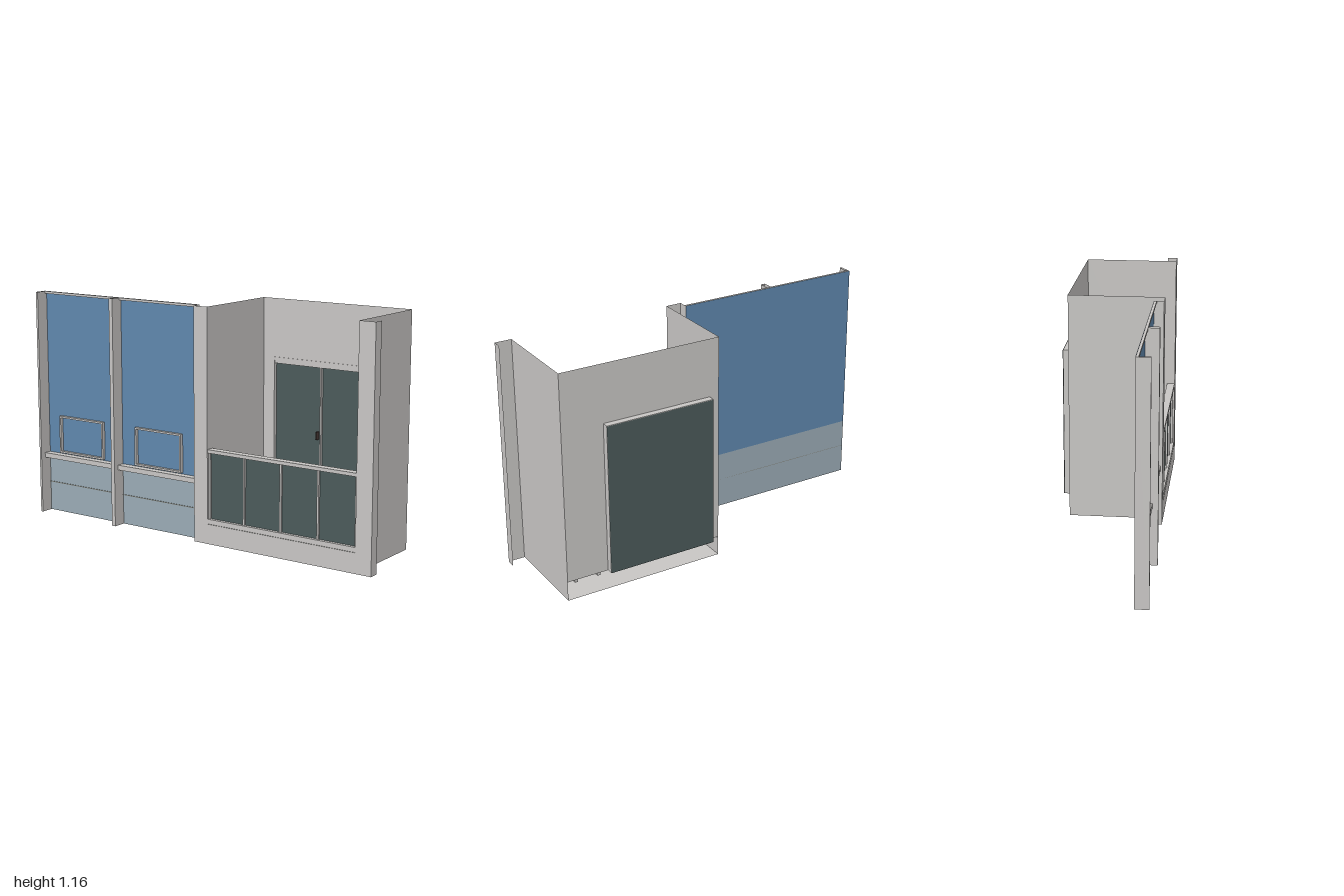
import * as THREE from 'three';

const mat = (name, color) => {
  const m = new THREE.MeshStandardMaterial({ color, side: THREE.DoubleSide });
  m.name = name;
  return m;
};

export function createModel() {
  const wall = mat('light grey wall', 0xc8c6c4);
  const blue = mat('blue panel', 0x5f87ad);
  const pale = mat('pale blue panel', 0x9aabb5);
  const glass = mat('dark glass', 0x4b5a5a);
  const floorMat = mat('floor', 0x878a84);
  const dark = mat('dark metal', 0x4a3b38);

  const root = new THREE.Group();
  root.name = 'facadeModule';
  const H = 1.165, BACK = -0.232, FRONT = 0.25, X0 = 0.08, X1 = 0.915;

  const add = (name, geo, m, parent = root) => {
    const mesh = new THREE.Mesh(geo, m);
    mesh.name = name;
    parent.add(mesh);
    return mesh;
  };
  // Solid box from its limits
  const box = (name, m, x0, x1, y0, y1, z0, z1, parent) =>
    add(name, new THREE.BoxGeometry(x1 - x0, y1 - y0, z1 - z0), m, parent)
      .position.set((x0 + x1) / 2, (y0 + y1) / 2, (z0 + z1) / 2);
  // Single sheets facing z, x and y
  const sheetZ = (name, m, x0, x1, y0, y1, z, parent) =>
    add(name, new THREE.PlaneGeometry(x1 - x0, y1 - y0), m, parent)
      .position.set((x0 + x1) / 2, (y0 + y1) / 2, z);
  const sheetX = (name, m, x, y0, y1, z0, z1, parent) => {
    const s = add(name, new THREE.PlaneGeometry(z1 - z0, y1 - y0), m, parent);
    s.rotation.y = Math.PI / 2;
    s.position.set(x, (y0 + y1) / 2, (z0 + z1) / 2);
  };
  const sheetY = (name, m, x0, x1, y, z0, z1, parent) => {
    const s = add(name, new THREE.PlaneGeometry(x1 - x0, z1 - z0), m, parent);
    s.rotation.x = -Math.PI / 2;
    s.position.set((x0 + x1) / 2, y, (z0 + z1) / 2);
  };
  // Rectangle path
  const rect = (P, x0, x1, y0, y1) => {
    const p = new P();
    p.moveTo(x0, y0); p.lineTo(x1, y0); p.lineTo(x1, y1); p.lineTo(x0, y1); p.closePath();
    return p;
  };
  const ring = (x0, x1, y0, y1, t) => {
    const s = rect(THREE.Shape, x0, x1, y0, y1);
    s.holes.push(rect(THREE.Path, x0 + t, x1 - t, y0 + t, y1 - t));
    return s;
  };
  const group = (name) => {
    const g = new THREE.Group();
    g.name = name;
    root.add(g);
    return g;
  };

  // Panelled half
  const panels = group('panelWall');
  sheetZ('upperPanel', blue, -1, 0, 0.3, H, 0.2, panels);
  sheetZ('lowerPanel', pale, -1, 0, 0, 0.3, 0.2, panels);
  box('topRail', wall, -1, 0, 1.153, H, 0.201, 0.214, panels);
  box('sill', wall, -1, 0, 0.29, 0.315, 0.201, 0.24, panels);
  box('panelJoint', floorMat, -1, 0, 0.151, 0.155, 0.2, 0.203, panels);

  // Open-ended mullions
  for (const [x0, x1] of [[-1, -0.988], [-0.512, -0.49]]) {
    sheetZ('mullionFace', wall, x0, x1, 0, H, 0.268, panels);
    sheetX('mullionSide', wall, x0, 0, H, 0.2, 0.268, panels);
    sheetX('mullionSide', wall, x1, 0, H, 0.2, 0.268, panels);
  }

  // Opening-light frames
  for (const [x0, x1] of [[-0.902, -0.608], [-0.398, -0.106]]) {
    const geo = new THREE.ExtrudeGeometry(ring(x0, x1, 0.322, 0.518, 0.009),
      { depth: 0.018, bevelEnabled: false });
    add('windowFrame', geo, wall, panels).position.z = 0.201;
  }

  // Balcony shell: U-shaped front, side walls, pierced back wall, base
  const balcony = group('balcony');
  const u = new THREE.Shape([[0, 0], [1, 0], [1, H], [X1, H], [X1, 0.1], [X0, 0.1], [X0, H], [0, H]]
    .map(([x, y]) => new THREE.Vector2(x, y)));
  add('frontSurround', new THREE.ShapeGeometry(u), wall, balcony).position.z = FRONT;
  for (const x of [0, 1]) sheetX('pillarReturn', wall, x, 0, H, 0.2, FRONT, balcony);
  for (const x of [X0, X1]) sheetX('sideWall', wall, x, 0, H, BACK, FRONT, balcony);
  const back = new THREE.Shape([[X0, 0.1], [0.13, 0.1], [0.13, 0.87], [0.7, 0.87], [0.7, 0.1],
    [X1, 0.1], [X1, H], [X0, H]].map(([x, y]) => new THREE.Vector2(x, y)));
  add('backWall', new THREE.ShapeGeometry(back), wall, balcony).position.z = BACK;
  sheetY('basePlate', wall, X0, X1, 0, BACK, FRONT, balcony);
  sheetY('floor', floorMat, X0, X1, 0.1, BACK, FRONT, balcony);

  // Balustrade
  const rail = group('balustrade');
  box('handrail', wall, X0, X1, 0.455, 0.472, 0.208, 0.249, rail);
  box('bottomRail', wall, X0, X1, 0.101, 0.125, 0.215, 0.249, rail);
  box('balustradeGlass', glass, X0, X1, 0.125, 0.455, 0.225, 0.231, rail);
  for (const x of [0.085, 0.289, 0.498, 0.705, 0.91])
    box('balustradePost', wall, x - 0.005, x + 0.005, 0.125, 0.455, 0.218, 0.241, rail);

  // Sliding door
  const door = group('balconyDoor');
  const frame = new THREE.ExtrudeGeometry(ring(0.13, 0.7, 0.1, 0.87, 0.016),
    { depth: 0.036, bevelEnabled: false });
  add('doorFrame', frame, wall, door).position.z = -0.265;
  box('doorHead', wall, 0.146, 0.684, 0.838, 0.854, -0.262, -0.234, door);
  sheetZ('doorGlass', glass, 0.13, 0.7, 0.1, 0.868, -0.267, door);
  sheetZ('doorGlassInner', glass, 0.146, 0.684, 0.116, 0.838, -0.25, door);
  box('doorStile', wall, 0.412, 0.42, 0.116, 0.838, -0.25, -0.236, door);
  box('doorHandle', dark, 0.392, 0.4, 0.475, 0.515, -0.25, -0.23, door);

  // Outdoor cooling unit
  const unit = group('coolingUnit');
  box('unitCase', wall, 0.722, 0.887, 0.105, 0.245, -0.218, -0.13, unit);
  const fan = add('fanGrille', new THREE.CylinderGeometry(0.037, 0.037, 0.008, 24), dark, unit);
  fan.rotation.x = Math.PI / 2;
  fan.position.set(0.785, 0.175, -0.126);
  for (const x of [0.745, 0.864])
    box('unitFoot', wall, x - 0.008, x + 0.008, 0.08, 0.105, -0.222, -0.126, unit);

  return root;
}
